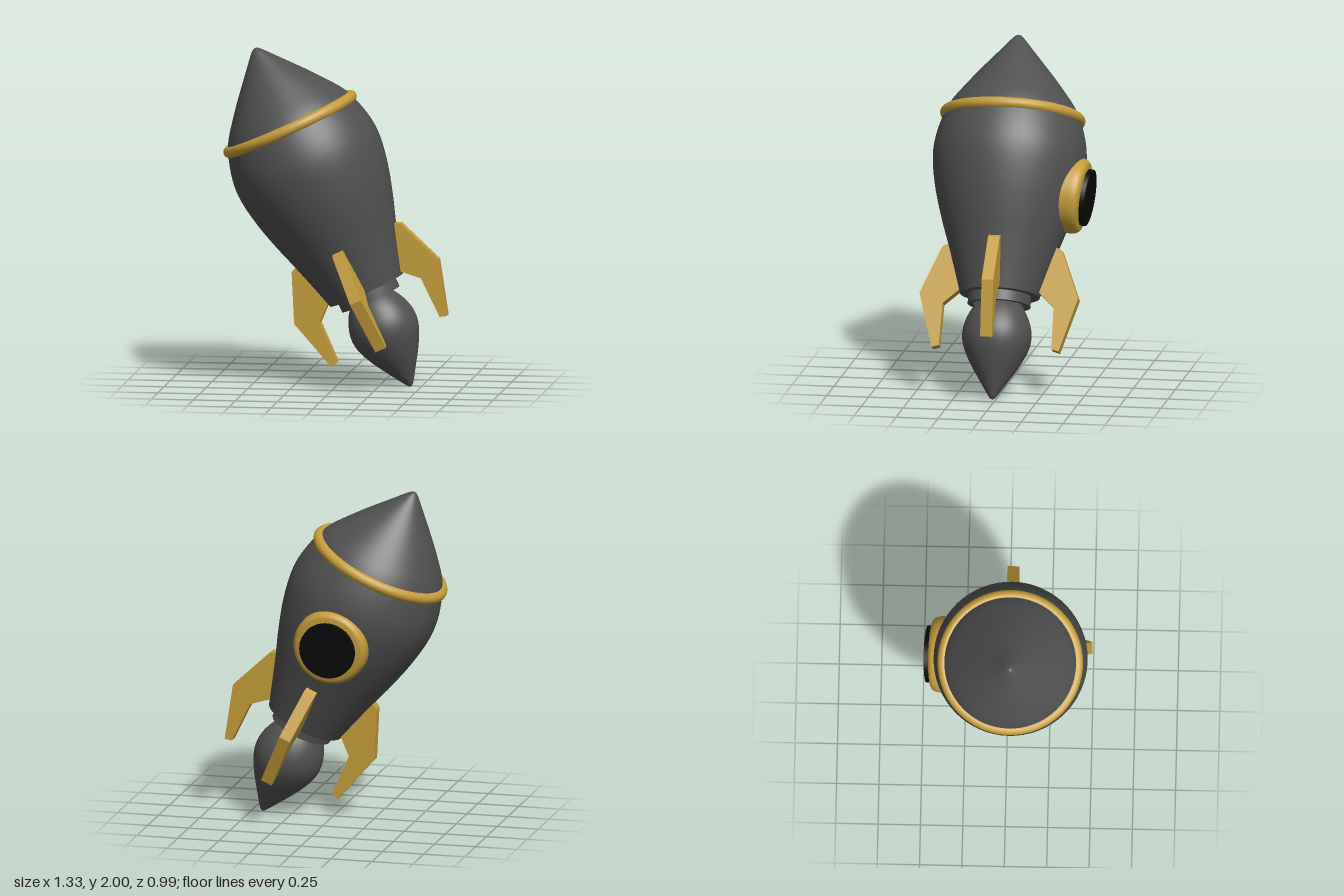
import * as THREE from 'three';

const dark = new THREE.MeshStandardMaterial({ color: 0x505050 });
const gold = new THREE.MeshStandardMaterial({ color: 0xc49c3a });
const black = new THREE.MeshStandardMaterial({ color: 0x0a0a0a });

const toVectors = (pts) => pts.map(([x, y]) => new THREE.Vector2(x, y));

// Smooth surface of revolution through [radius, height] points, bottom to top
function smoothLathe(pts, divisions) {
  const curve = new THREE.SplineCurve(toVectors(pts));
  const profile = curve.getPoints(divisions);
  profile.forEach((p) => { p.x = Math.max(p.x, 0); });
  return new THREE.LatheGeometry(profile, 64);
}

function addMesh(parent, name, geometry, material) {
  const mesh = new THREE.Mesh(geometry, material);
  mesh.name = name;
  parent.add(mesh);
  return mesh;
}

export function createModel() {
  const model = new THREE.Group();
  model.name = 'rocket';

  // Everything is built upright on its own axis, then leaned over
  const rocket = new THREE.Group();
  rocket.name = 'leaningRocket';
  rocket.position.set(0.44, 0, 0.02);
  rocket.rotation.z = THREE.MathUtils.degToRad(25);
  model.add(rocket);

  // Hull and nose cone
  addMesh(rocket, 'hull', smoothLathe([
    [0.236, 0.63], [0.278, 0.77], [0.325, 0.92], [0.378, 1.08], [0.425, 1.25],
    [0.453, 1.42], [0.447, 1.55], [0.41, 1.69], [0.37, 1.775], [0.3, 1.87],
    [0.215, 1.975], [0.12, 2.085], [0.03, 2.188], [0, 2.206],
  ], 90), dark);
  const base = addMesh(rocket, 'hullBase', new THREE.CircleGeometry(0.236, 64), dark);
  base.rotation.x = Math.PI / 2;
  base.position.y = 0.63;

  // Hollow nozzle collar
  addMesh(rocket, 'nozzle', new THREE.LatheGeometry(toVectors([
    [0.155, 0.64], [0.155, 0.57], [0.155, 0.57], [0.186, 0.57], [0.186, 0.57], [0.186, 0.64],
  ]), 64), dark);

  // Teardrop flame
  addMesh(rocket, 'flame', smoothLathe([
    [0, 0.004], [0.02, 0.016], [0.082, 0.11], [0.145, 0.21], [0.192, 0.31],
    [0.205, 0.39], [0.19, 0.47], [0.15, 0.55], [0.09, 0.61], [0, 0.635],
  ], 60), dark);

  // Trim ring below the nose
  const ring = addMesh(rocket, 'noseRing', new THREE.TorusGeometry(0.396, 0.034, 16, 80), gold);
  ring.rotation.x = Math.PI / 2;
  ring.position.y = 1.71;

  // Four swept fins
  const finShape = new THREE.Shape(toVectors([
    [0.2, 0.652], [0.236, 0.652], [0.332, 0.565], [0.337, 0.31], [0.38, 0.298],
    [0.475, 0.622], [0.358, 0.908], [0.325, 0.925], [0.27, 0.9],
  ]));
  const finGeometry = new THREE.ExtrudeGeometry(finShape, { depth: 0.07, bevelEnabled: false });
  finGeometry.translate(0, 0, -0.035);
  for (let i = 0; i < 4; i++) {
    addMesh(rocket, `fin${i + 1}`, finGeometry, gold).rotation.y = i * Math.PI / 2;
  }

  // Round window on the back, following the slope of the hull
  const porthole = new THREE.Group();
  porthole.name = 'window';
  porthole.position.set(0, 1.257, -0.34);
  porthole.rotation.x = -Math.PI / 2 - THREE.MathUtils.degToRad(7);
  rocket.add(porthole);
  const frameProfile = new THREE.Shape();
  frameProfile.moveTo(0.225, -0.06);
  frameProfile.lineTo(0.225, 0.07);
  frameProfile.quadraticCurveTo(0.225, 0.115, 0.195, 0.125);
  frameProfile.lineTo(0.16, 0.13);
  addMesh(porthole, 'windowFrame', new THREE.LatheGeometry(frameProfile.getPoints(8), 64), gold);
  const pane = addMesh(porthole, 'windowPane', new THREE.CylinderGeometry(0.168, 0.172, 0.1, 64), black);
  pane.position.y = 0.105;

  return model;
}
